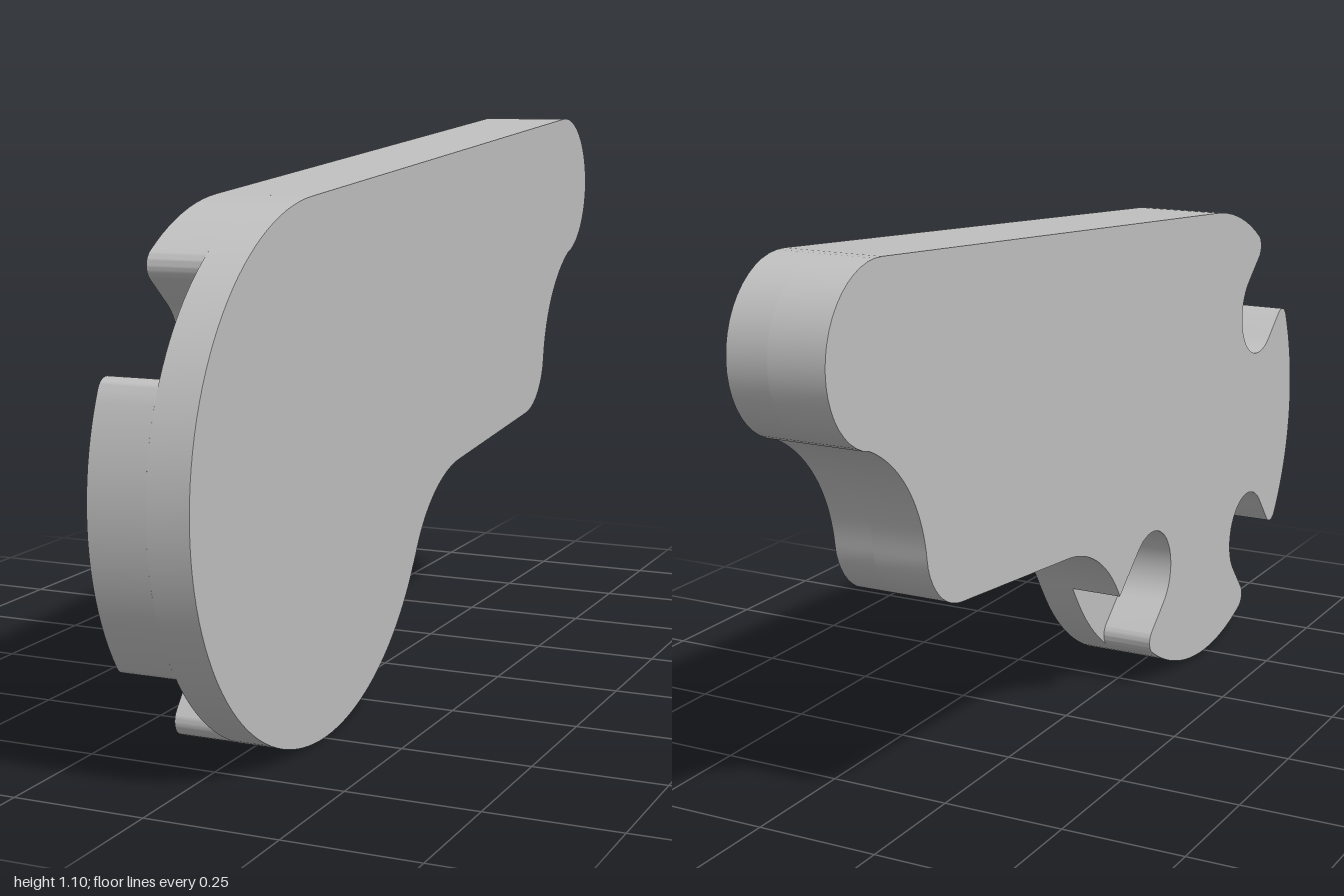
import * as THREE from 'three';
import { toCreasedNormals } from 'three/addons/utils/BufferGeometryUtils.js';

const RAD = Math.PI / 180;
const HUB = { x: -0.5, y: 0.5, r: 0.5 };      // large round end
const SLOTS = [-40, -130, -220];              // slot directions around the hub
const SLOT_R = 0.1, SLOT_C = 0.375, FILLET = 0.03;

// Adds an arc (degrees) to a point list, dropping near duplicates
function arc(pts, x, y, r, a0, a1) {
  const n = Math.max(6, Math.ceil(Math.abs(a1 - a0) / (r > 0.2 ? 3 : 8)));
  for (let i = 0; i <= n; i++) {
    const a = (a0 + (a1 - a0) * i / n) * RAD;
    const p = new THREE.Vector2(x + r * Math.cos(a), y + r * Math.sin(a));
    if (!pts.length || pts[pts.length - 1].distanceTo(p) > 0.003) pts.push(p);
  }
}

// Rounded radial slot with softened mouth corners
function slot(pts, dir, firstFillet) {
  const c = Math.cos(dir * RAD), s = Math.sin(dir * RAD);
  const at = (u, v) => [HUB.x + u * c - v * s, HUB.y + u * s + v * c];
  const v = SLOT_R + FILLET, reach = HUB.r - FILLET;
  const u = Math.sqrt(reach * reach - v * v), tilt = Math.asin(v / reach) / RAD;
  if (firstFillet) arc(pts, ...at(u, v), FILLET, dir + tilt, dir - 90);
  arc(pts, ...at(SLOT_C, 0), SLOT_R, dir + 90, dir + 270);
  arc(pts, ...at(u, -v), FILLET, dir + 90, dir - tilt);
  return tilt;
}

// Lever silhouette, clockwise; horizontal axis runs toward the back
function outline(withSlots) {
  const pts = [];
  arc(pts, 0.84, 0.945, 0.16, 94.4, -69.4);      // tip
  arc(pts, 1.0, 0.52, 0.297, 110.6, 172.6);      // hollow under the tip
  arc(pts, 0.577, 0.575, 0.13, -7.4, -84.9);     // lower corner
  arc(pts, 0.2, 0.11, 0.3, 95.1, withSlots ? 149.8 : 150.9); // hollow beside hub
  let from = -29.1;
  if (withSlots) {
    SLOTS.forEach((dir, i) => {
      const tilt = Math.asin((SLOT_R + FILLET) / (HUB.r - FILLET)) / RAD;
      if (i > 0) arc(pts, HUB.x, HUB.y, HUB.r, from, dir + tilt);
      slot(pts, dir, i > 0);
      from = dir - tilt;
    });
  }
  arc(pts, HUB.x, HUB.y, HUB.r, from, -265.6);   // rest of the hub rim
  return new THREE.Shape(pts);
}

// Extrudes a silhouette between two x positions
function plate(name, shape, x0, x1, material) {
  const geo = new THREE.ExtrudeGeometry(shape, { depth: x1 - x0, bevelEnabled: false });
  geo.rotateY(Math.PI / 2);
  geo.translate(x0, 0, 0);
  const mesh = new THREE.Mesh(toCreasedNormals(geo, 0.5), material);
  mesh.name = name;
  return mesh;
}

export function createModel() {
  const grey = new THREE.MeshStandardMaterial({ color: 0xc0c0c0 });
  grey.name = 'light grey';
  const group = new THREE.Group();
  group.name = 'slottedLever';
  group.add(
    plate('solidPlate', outline(false), 0.015, 0.095, grey),
    plate('slottedPlate', outline(true), -0.095, 0.015, grey)
  );
  return group;
}
